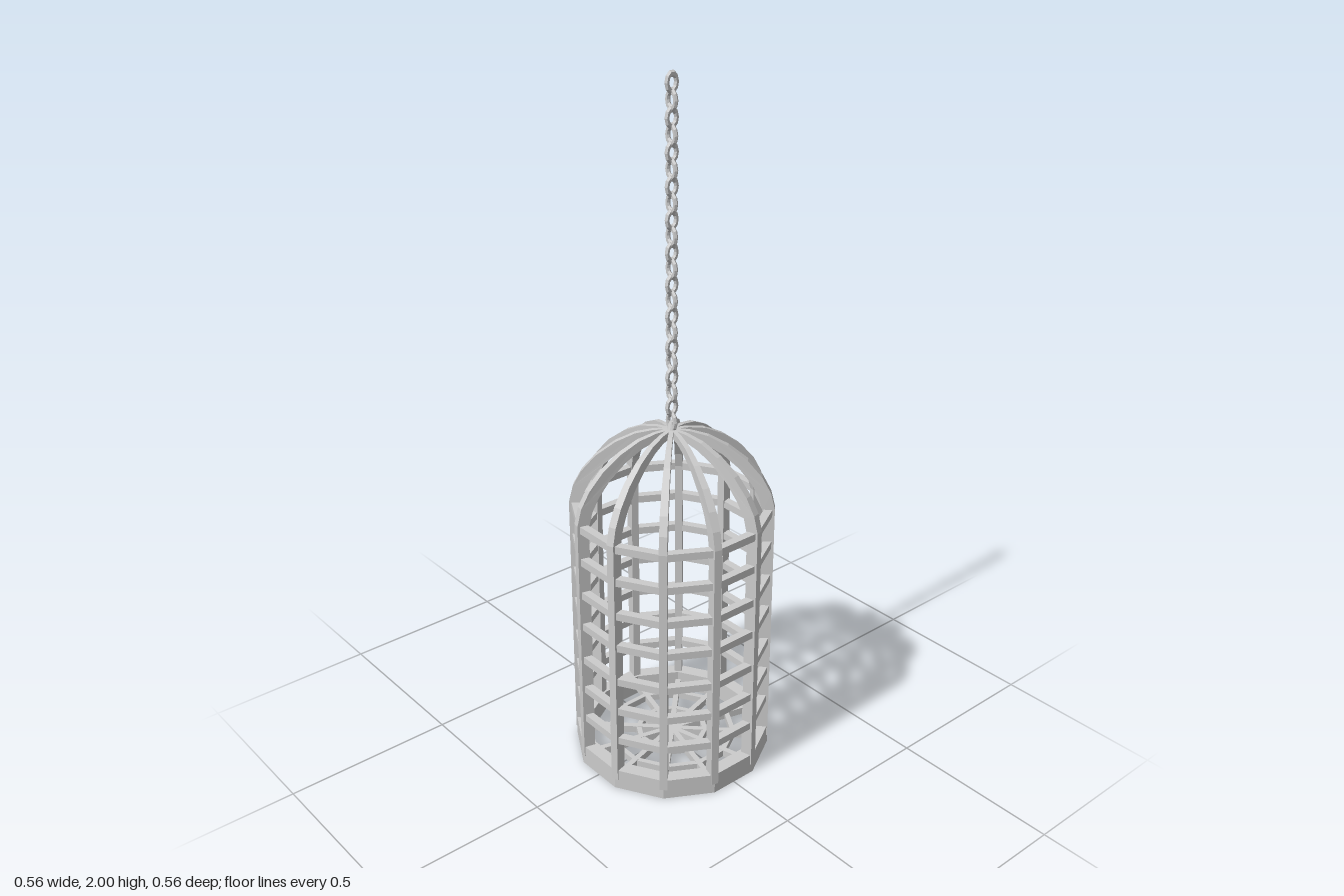
import * as THREE from 'three';

const SIDES = 12;
const STEP = (Math.PI * 2) / SIDES;
const OFFSET = STEP / 2; // corners sit half a step off the axes

export function createModel() {
  const model = new THREE.Group();
  model.name = 'hangingCage';
  const material = new THREE.MeshStandardMaterial({ color: 0xcccccc, flatShading: true });

  const add = (geometry, name, parent = model) => {
    const mesh = new THREE.Mesh(geometry, material);
    mesh.name = name;
    parent.add(mesh);
    return mesh;
  };

  // Twelve-sided band with a rectangular section (radii measured to the corners)
  const band = (inner, outer, bottom, top, name) => {
    const profile = [[outer, bottom], [outer, top], [inner, top], [inner, bottom], [outer, bottom]]
      .map(([r, y]) => new THREE.Vector2(r, y));
    return add(new THREE.LatheGeometry(profile, SIDES, OFFSET), name);
  };

  // Heavy base and the horizontal hoops
  band(0.248, 0.288, 0, 0.062, 'baseRing');
  [0.165, 0.265, 0.365, 0.477, 0.58, 0.687, 0.788].forEach((y) =>
    band(0.26, 0.284, y - 0.011, y + 0.011, 'hoop'));

  // Floor grating
  band(0.093, 0.108, 0.015, 0.035, 'floorRingInner');
  band(0.177, 0.192, 0.015, 0.035, 'floorRingOuter');
  for (let i = 0; i < SIDES / 2; i++) {
    const spoke = add(new THREE.BoxGeometry(0.53, 0.022, 0.016), 'floorSpoke');
    spoke.position.y = 0.025;
    spoke.rotation.y = OFFSET + i * STEP;
  }

  // Bars: upright wall section bending into the dome, narrowing to the crown
  const outline = [
    [0.288, 0.03], [0.288, 0.8], [0.276, 0.85], [0.251, 0.898], [0.21, 0.947],
    [0.155, 0.99], [0.1, 1.018], [0.05, 1.03], [0.012, 1.033],
    [0.012, 1.012], [0.05, 1.008], [0.09, 0.994], [0.14, 0.964], [0.187, 0.922],
    [0.222, 0.876], [0.243, 0.835], [0.254, 0.79], [0.254, 0.03],
  ].map(([r, y]) => new THREE.Vector2(r, y));
  const barGeometry = new THREE.ExtrudeGeometry(new THREE.Shape(outline), {
    depth: 0.022, bevelEnabled: false,
  });
  barGeometry.translate(0, 0, -0.011);
  const pos = barGeometry.attributes.position;
  for (let i = 0; i < pos.count; i++) {
    const taper = THREE.MathUtils.clamp(0.5 + pos.getX(i) / 0.5, 0.5, 1);
    pos.setZ(i, pos.getZ(i) * taper);
  }
  barGeometry.computeVertexNormals();
  for (let i = 0; i < SIDES; i++) {
    add(barGeometry, 'bar').rotation.y = OFFSET + i * STEP;
  }

  // Crown where the bars meet
  add(new THREE.CylinderGeometry(0.006, 0.022, 0.045, SIDES), 'crown').position.y = 1.0325;

  // Chain of links, each turned a quarter from the last
  const chain = new THREE.Group();
  chain.name = 'chain';
  model.add(chain);
  const linkGeometry = new THREE.TorusGeometry(0.0155, 0.0065, 6, 10);
  linkGeometry.scale(1, 1.4, 1);
  const links = 22;
  for (let i = 0; i < links; i++) {
    const link = add(linkGeometry, 'chainLink', chain);
    link.position.y = 1.969 - i * 0.0435;
    link.rotation.y = (i % 2) * Math.PI / 2;
  }

  return model;
}
